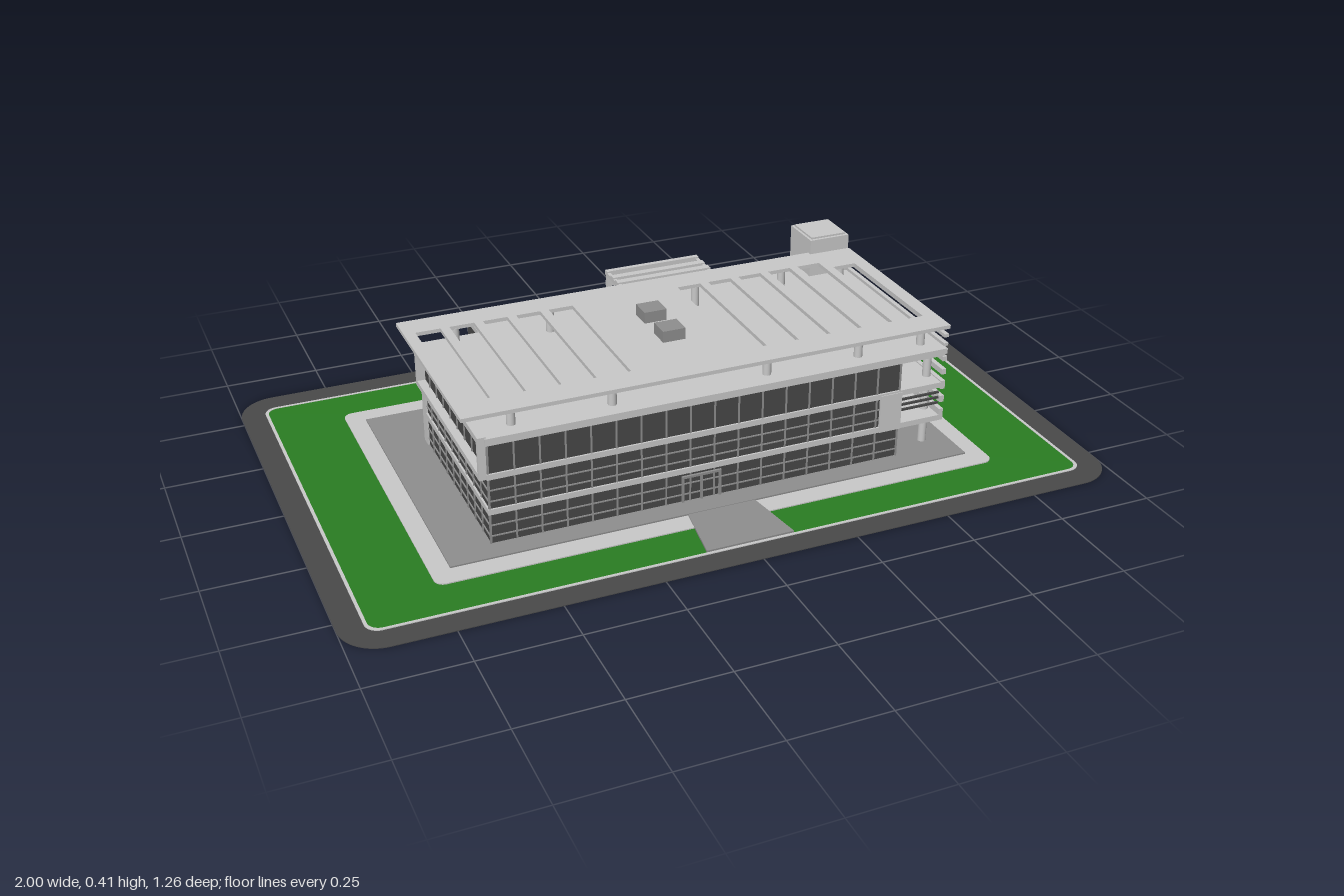
import * as THREE from 'three';

const mat = (name, color) => {
  const m = new THREE.MeshStandardMaterial({ color });
  m.name = name;
  return m;
};

export function createModel() {
  const root = new THREE.Group();
  root.name = 'officeBuilding';
  const light = mat('lightConcrete', 0xc9c9c9);
  const mid = mat('greyConcrete', 0x8f8f8f);
  const glass = mat('darkGlass', 0x484848);
  const green = mat('grass', 0x2a7d22);
  const asphalt = mat('asphalt', 0x4a4a4a);

  const add = (name, geo, m) => {
    const mesh = new THREE.Mesh(geo, m);
    mesh.name = name;
    root.add(mesh);
    return mesh;
  };
  // Box given by its limits on each axis
  const box = (name, m, x0, x1, y0, y1, z0, z1) =>
    add(name, new THREE.BoxGeometry(x1 - x0, y1 - y0, z1 - z0), m)
      .position.set((x0 + x1) / 2, (y0 + y1) / 2, (z0 + z1) / 2);
  const column = (x, z, y0, y1, r = 0.011) =>
    add('column', new THREE.CylinderGeometry(r, r, y1 - y0, 16), light).position.set(x, (y0 + y1) / 2, z);

  // Rounded rectangle drawn in x and -z
  const trace = (p, x, z, r) => {
    p.moveTo(-x + r, -z);
    p.lineTo(x - r, -z); p.absarc(x - r, -z + r, r, -Math.PI / 2, 0);
    p.lineTo(x, z - r); p.absarc(x - r, z - r, r, 0, Math.PI / 2);
    p.lineTo(-x + r, z); p.absarc(-x + r, z - r, r, Math.PI / 2, Math.PI);
    p.lineTo(-x, -z + r); p.absarc(-x + r, -z + r, r, Math.PI, Math.PI * 1.5);
    return p;
  };
  const flat = (name, shape, m, y0, y1) => {
    const g = new THREE.ExtrudeGeometry(shape, { depth: y1 - y0, bevelEnabled: false, curveSegments: 8 });
    g.rotateX(-Math.PI / 2);
    add(name, g, m).position.y = y0;
  };
  const ring = (name, m, outer, inner, y0, y1) => {
    const s = trace(new THREE.Shape(), ...outer);
    s.holes.push(trace(new THREE.Path(), ...inner));
    flat(name, s, m, y0, y1);
  };

  // Grounds: road, kerb, lawn, terrace and paving
  ring('road', asphalt, [1, 0.63, 0.1], [0.937, 0.565, 0.035], 0, 0.002);
  ring('kerb', light, [0.937, 0.565, 0.035], [0.929, 0.557, 0.03], 0, 0.004);
  ring('lawn', green, [0.929, 0.557, 0.03], [0.745, 0.447, 0.025], 0.0005, 0.003);
  ring('terrace', light, [0.745, 0.447, 0.025], [0.695, 0.39, 0.002], 0.0005, 0.006);
  box('paving', mid, -0.695, 0.695, 0, 0.01, -0.39, 0.39);
  const path = new THREE.Shape([[-0.115, -0.557], [0.115, -0.557], [0.09, -0.385], [-0.09, -0.385]]
    .map(([x, y]) => new THREE.Vector2(x, y)));
  flat('entrancePath', path, mid, 0, 0.0085);

  // Glazed body
  const X0 = -0.575, X1 = 0.52, Z0 = -0.205, Z1 = 0.33;
  box('glazedBody', glass, X0, X1, 0.01, 0.28, Z0, Z1);
  box('rearWing', glass, -0.42, 0.535, 0.1, 0.28, -0.315, Z0);

  // Floor edges and roof deck
  for (const [y0, y1] of [[0.09, 0.105], [0.185, 0.2], [0.276, 0.295]]) {
    box('floorSlab', light, X0 - 0.005, X1, y0, y1, Z0 - 0.012, Z1 + 0.005);
    box('rearSlab', light, -0.42, 0.535, y0, y1, -0.325, Z0 - 0.012);
    box('balconySlab', light, X1, 0.645, y0, y1, Z0, Z1 + 0.005);
  }

  // Window bars on the four sides
  const floors = [[0.01, 0.09], [0.105, 0.185], [0.2, 0.276]];
  const t = 0.002, e = 0.003;
  floors.forEach(([y0, y1], f) => {
    for (let i = 0; i <= 17; i++) {
      const x = X0 + (X1 - X0) * i / 17;
      box('frontMullion', mid, x - t, x + t, y0, y1, Z1, Z1 + e);
    }
    for (let i = 0; i <= 9; i++) {
      const z = Z0 + (Z1 - Z0) * i / 9;
      box('leftMullion', mid, X1, X1 + e, y0, y1, z - t, z + t);
      box('rightMullion', mid, X0 - e, X0, y0, y1, z - t, z + t);
    }
    if (f > 0) for (let i = 0; i <= 14; i++) {
      const x = -0.418 + 0.95 * i / 14;
      box('rearMullion', mid, x - t, x + t, y0, y1, -0.318, -0.315);
    }
    const rails = f === 2 ? [] : [0.25, 0.62];
    for (const k of rails) {
      const y = y0 + (y1 - y0) * k;
      box('frontRail', mid, X0, X1, y - 0.0015, y + 0.0015, Z1, Z1 + e);
      box('leftRail', mid, X1, X1 + e, y - 0.0015, y + 0.0015, Z0, Z1);
      box('rightRail', mid, X0 - e, X0, y - 0.0015, y + 0.0015, Z0, Z1);
    }
  });

  // Entrance frames on the front and left sides
  for (const x of [-0.08, -0.03, 0.02]) box('doorPost', mid, x - 0.003, x + 0.003, 0.01, 0.08, Z1, Z1 + 0.006);
  box('doorHead', mid, -0.083, 0.023, 0.076, 0.082, Z1, Z1 + 0.006);
  for (const z of [0.01, 0.06, 0.11]) box('sideDoorPost', mid, X1, X1 + 0.006, 0.01, 0.08, z - 0.003, z + 0.003);
  box('sideDoorHead', mid, X1, X1 + 0.006, 0.076, 0.082, 0.007, 0.113);

  // Solid wall panels
  box('frontCornerPanel', light, 0.465, 0.526, 0.09, 0.195, 0.29, 0.337);
  box('rearPanel', light, 0.27, 0.45, 0.2, 0.28, -0.322, -0.315);
  box('rearPanel', mid, 0.45, 0.535, 0.1, 0.28, -0.322, -0.315);
  box('rearPanel', mid, -0.28, -0.04, 0.21, 0.27, -0.322, -0.315);
  box('rearPanel', light, -0.42, -0.28, 0.105, 0.2, -0.322, -0.315);
  box('rearPanel', light, X0, -0.42, 0.105, 0.2, -0.215, Z0);
  box('rearPlinth', light, X0, -0.3, 0.01, 0.05, -0.222, Z0);
  box('rearCornerPier', light, -0.58, -0.545, 0.01, 0.2, -0.222, -0.19);

  // Projecting frame on the upper right side
  for (const y of [0.185, 0.283]) box('sideFrameRail', light, -0.597, X0, y, y + 0.015, Z0, Z1);
  for (const z of [Z0, Z1 - 0.012]) box('sideFrameFin', light, -0.597, X0, 0.185, 0.298, z, z + 0.012);

  // Louvre screen along the left side
  for (const [y0, y1] of [[0.09, 0.122], [0.142, 0.16], [0.18, 0.203], [0.222, 0.237],
    [0.26, 0.273], [0.28, 0.295], [0.303, 0.311], [0.327, 0.336]]) {
    box('sideLouvre', light, 0.64, 0.652, y0, y1, Z0, 0.335);
  }
  for (const y of [0.135, 0.15, 0.165]) box('balconyRail', glass, X1, 0.64, y, y + 0.005, 0.322, 0.328);
  for (const z of [0.285, 0.06]) column(0.625, z, 0.01, 0.09);
  column(0.585, -0.15, 0.01, 0.28);
  column(0.625, 0.285, 0.1, 0.28);

  // Stair tower with small slots in the back
  box('stairTower', light, 0.535, 0.652, 0.01, 0.4, -0.328, -0.207);
  box('towerCap', light, 0.542, 0.645, 0.4, 0.405, -0.32, -0.215);
  for (let i = 0; i < 7; i++) {
    for (const x of [0.565, 0.615]) {
      const sx = x + (i % 2) * 0.012, y = 0.06 + i * 0.045;
      box('towerSlot', glass, sx, sx + 0.006, y, y + 0.008, -0.329, -0.328);
    }
  }

  // Pergola roof with two rows of slots
  const roof = new THREE.Shape([[-0.635, -0.335], [0.655, -0.335], [0.655, 0.207], [0.535, 0.207],
    [0.535, 0.22], [-0.635, 0.22]].map(([x, y]) => new THREE.Vector2(x, y)));
  const slot = (x0, x1, z0, z1) => roof.holes.push(new THREE.Path([[x0, -z0], [x0, -z1], [x1, -z1], [x1, -z0]]
    .map(([x, y]) => new THREE.Vector2(x, y))));
  for (let i = 0; i < 5; i++) slot(-0.605 + i * 0.0885, -0.54 + i * 0.0885, -0.145, 0.26);
  for (let i = 0; i < 6; i++) slot(0.11 + i * 0.0885, 0.175 + i * 0.0885, i === 5 ? -0.105 : -0.145, 0.26);
  flat('pergolaRoof', roof, light, 0.35, 0.36);
  for (const x of [-0.5, -0.245, 0.165, 0.42, 0.6]) {
    for (const z of [0.285, -0.155]) column(x, z, 0.29, 0.352);
  }

  // Roof shafts
  for (const z of [-0.03, 0.09]) box('roofShaft', mid, -0.055, 0.005, 0.29, 0.39, z, z + 0.058);

  // Louvre stack on the back
  for (let i = 0; i < 9; i++) {
    const y = 0.1 + i * 0.03;
    box('rearLouvre', light, -0.02, 0.25, y, y + 0.014, -0.34, -0.326);
  }
  for (const z of [-0.3, -0.265]) box('rearTopLouvre', light, -0.02, 0.25, 0.34, 0.354, z, z + 0.02);
  for (const x of [-0.02, 0.24]) {
    box('louvrePost', light, x, x + 0.01, 0.1, 0.354, -0.334, -0.324);
    box('louvreArm', light, x, x + 0.01, 0.34, 0.35, -0.33, -0.215);
  }
  return root;
}
